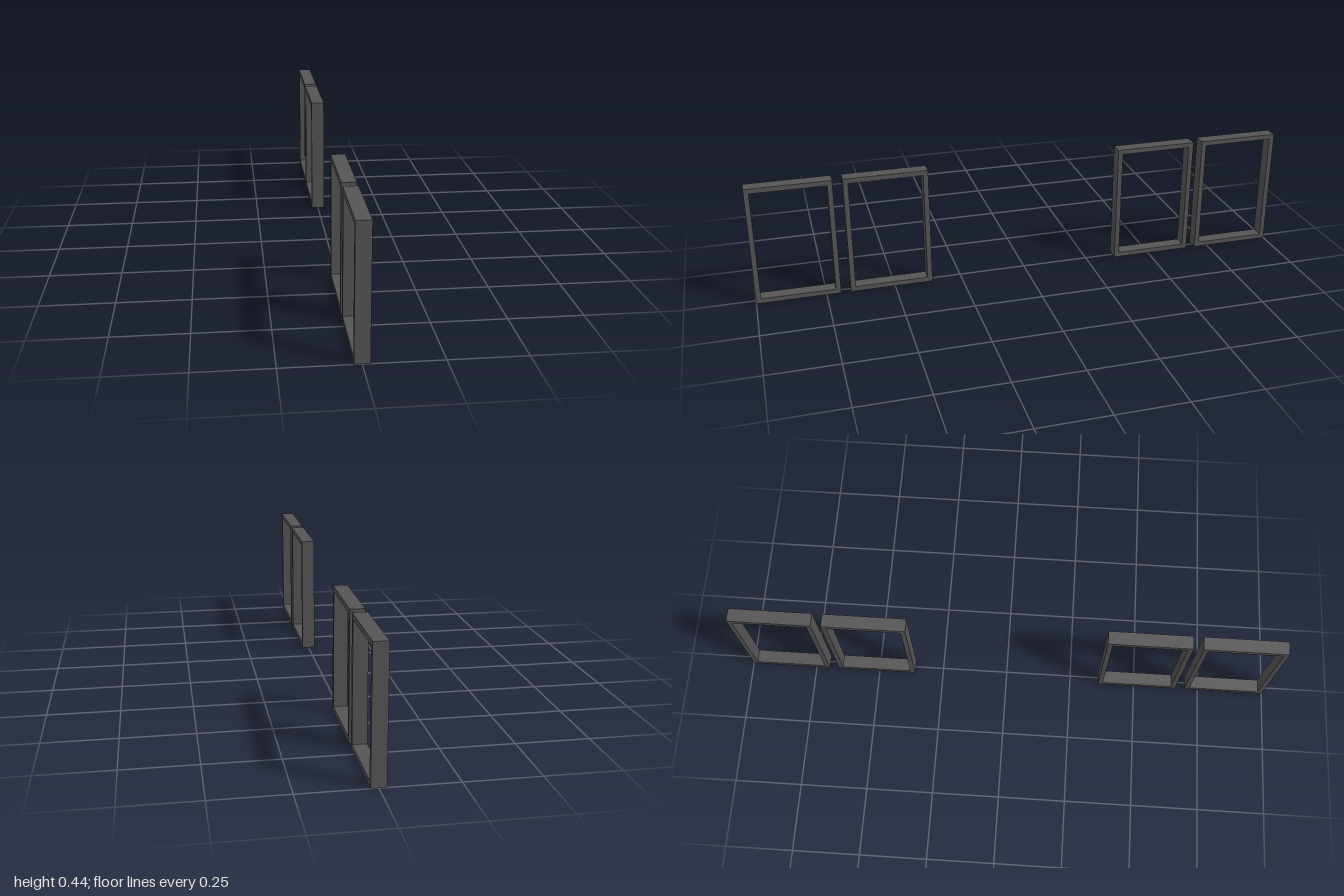
import * as THREE from 'three';

const WIDTH = 0.302, HEIGHT = 0.445, DEPTH = 0.049, BAR = 0.018;

// Rectangular frame: outer outline with a rectangular opening, extruded
function frameGeometry() {
  const w = WIDTH / 2, h = HEIGHT / 2;
  const outline = (a, b) => [[-a, -b], [a, -b], [a, b], [-a, b]].map(([x, y]) => new THREE.Vector2(x, y));
  const shape = new THREE.Shape(outline(w, h));
  shape.holes.push(new THREE.Path(outline(w - BAR, h - BAR).reverse()));
  const geometry = new THREE.ExtrudeGeometry(shape, { depth: DEPTH, bevelEnabled: false });
  geometry.translate(0, h, -DEPTH / 2);
  geometry.rotateY(Math.PI / 2); // width along z, thickness along x
  return geometry;
}

export function createModel() {
  const model = new THREE.Group();
  model.name = 'windowFrames';
  const material = new THREE.MeshStandardMaterial({ color: 0x555555 });
  const geometry = frameGeometry();

  // Two frames side by side at each end
  for (const [end, side] of [['front', 1], ['back', -1]]) {
    const pair = new THREE.Group();
    pair.name = end + 'FramePair';
    for (const [place, z] of [['Outer', 1 - WIDTH / 2], ['Inner', 0.511]]) {
      const frame = new THREE.Mesh(geometry, material);
      frame.name = end + place + 'Frame';
      frame.position.z = side * z;
      pair.add(frame);
    }
    model.add(pair);
  }
  return model;
}
